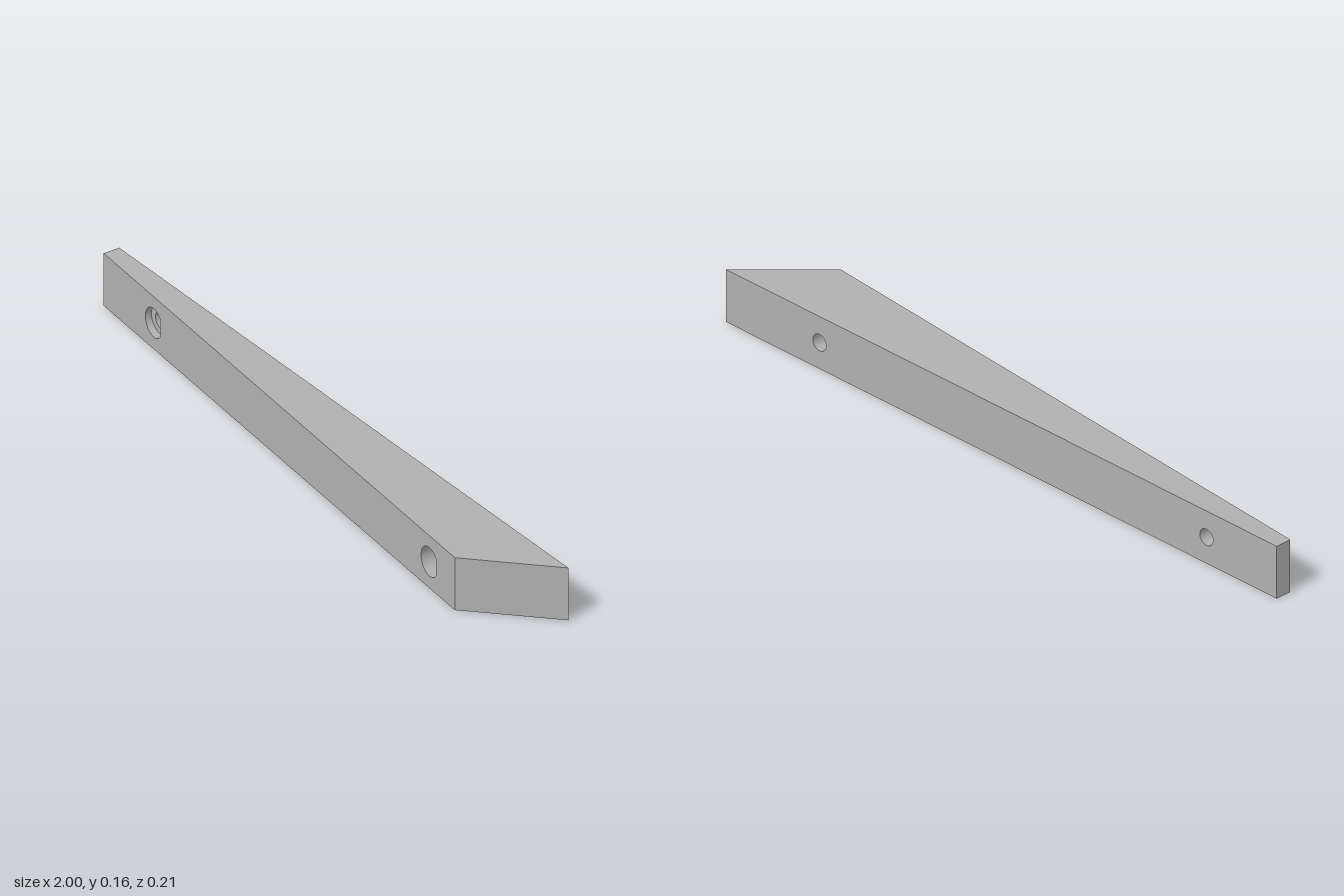
import * as THREE from 'three';
import { mergeGeometries } from 'three/addons/utils/BufferGeometryUtils.js';

const HEIGHT = 0.155, MID = HEIGHT / 2;
const BACK = -0.104, FLOOR = -0.055;
const HOLES = [-0.745, 0.66];

// The front face slopes from the thin left end to the thick right end
const frontZ = (x) => -0.055 + (x + 1) * (0.159 / 1.79);

const rectangle = (x1) => [[-1, 0], [x1, 0], [x1, HEIGHT], [-1, HEIGHT]].map(([x, y]) => new THREE.Vector2(x, y));

// Counter-clockwise circle, cut flat at the given distance to the right
function circle(cx, r, flat = r, n = 48) {
  const start = Math.acos(flat / r);
  const sweep = 2 * (Math.PI - start);
  const count = flat < r ? n + 1 : n;
  return Array.from({ length: count }, (_, i) => {
    const a = start + (sweep * i) / n;
    return new THREE.Vector2(cx + r * Math.cos(a), MID + r * Math.sin(a));
  });
}

const bore = (x) => circle(x, 0.024);
const counterbore = (x) => circle(x, 0.042, 0.034);

// Flat face with holes, its depth given by a rule
function face(outline, holes, zOf, flip = false) {
  const shape = new THREE.Shape(outline);
  shape.holes = holes.map((h) => new THREE.Path(h));
  const g = new THREE.ShapeGeometry(shape);
  const p = g.attributes.position;
  for (let i = 0; i < p.count; i++) p.setZ(i, zOf(p.getX(i)));
  if (flip) g.index.array.reverse();
  const out = g.toNonIndexed();
  out.deleteAttribute('uv');
  out.computeVertexNormals();
  return out;
}

// Wall joining two matching closed outlines
function wall(back, front, zBack, zFront, inward = false) {
  const v = [];
  const put = (p, zOf) => v.push(p.x, p.y, zOf(p.x));
  back.forEach((a, i) => {
    const j = (i + 1) % back.length;
    const quad = [[a, zBack], [back[j], zBack], [front[j], zFront], [front[i], zFront]];
    const order = inward ? [0, 2, 1, 0, 3, 2] : [0, 1, 2, 0, 2, 3];
    order.forEach((k) => put(...quad[k]));
  });
  const g = new THREE.BufferGeometry();
  g.setAttribute('position', new THREE.Float32BufferAttribute(v, 3));
  g.computeVertexNormals();
  return g;
}

export function createModel() {
  const group = new THREE.Group();
  group.name = 'wedgeBar';
  const grey = new THREE.MeshStandardMaterial({ color: 0xb0b0b0 });
  grey.name = 'plain grey';
  const add = (name, parts) => {
    const mesh = new THREE.Mesh(mergeGeometries(parts), grey);
    mesh.name = name;
    group.add(mesh);
  };
  const backZ = () => BACK, floorZ = () => FLOOR;

  // Tapered bar with a mitred right end
  const backOutline = rectangle(1), frontOutline = rectangle(0.79);
  add('bar', [
    face(frontOutline, HOLES.map(counterbore), frontZ),
    face(backOutline, HOLES.map(bore), backZ, true),
    wall(backOutline, frontOutline, backZ, frontZ),
  ]);

  // Stepped screw holes
  HOLES.forEach((x, i) => {
    const small = bore(x), large = counterbore(x);
    add(i ? 'leftScrewHole' : 'rightScrewHole', [
      wall(small, small, backZ, floorZ, true),
      face(large, [small], floorZ),
      wall(large, large, floorZ, frontZ, true),
    ]);
  });
  return group;
}
